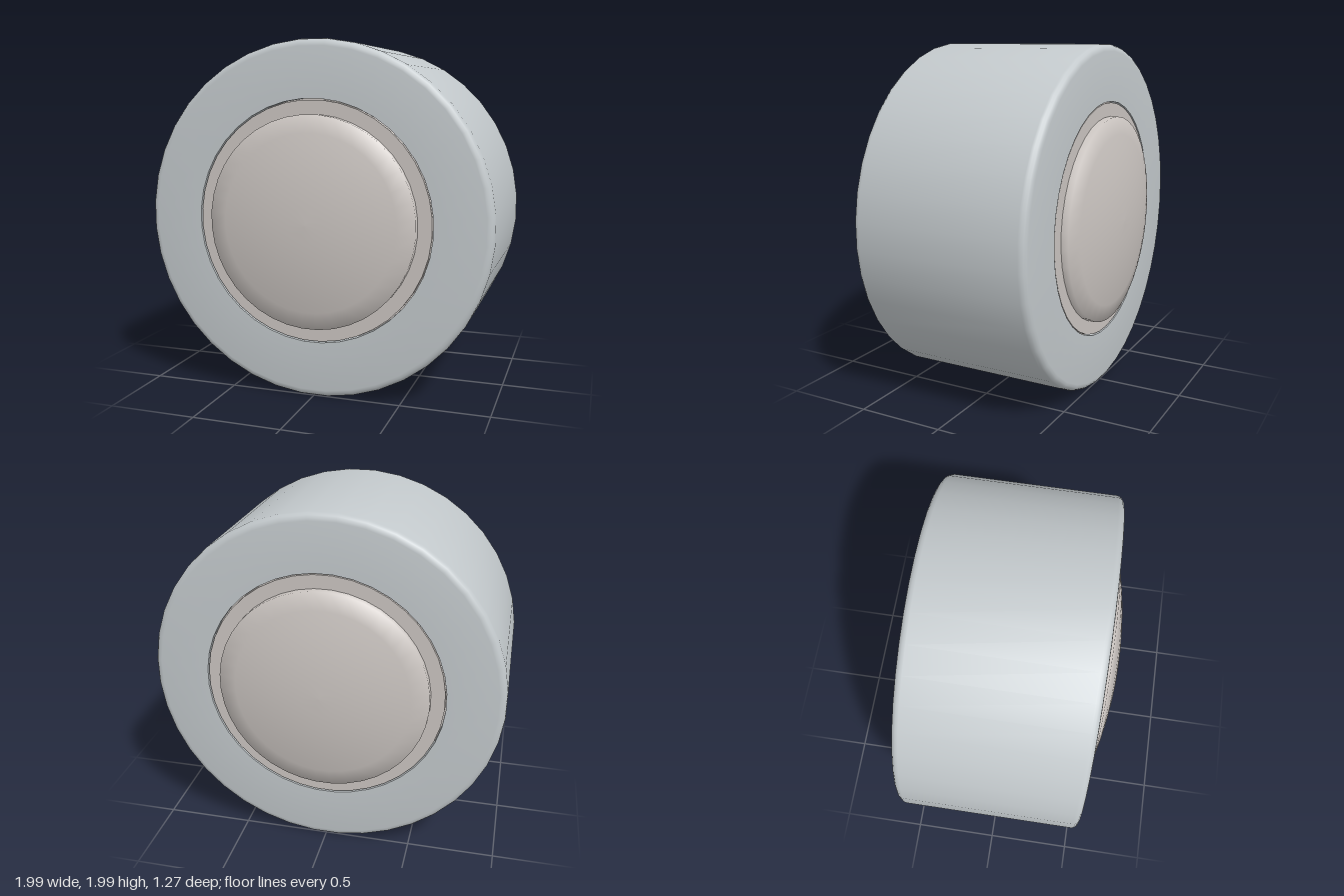
import * as THREE from 'three';
import { toCreasedNormals } from 'three/addons/utils/BufferGeometryUtils.js';

const SIDES = 40;

// Revolve [radius, z] points around the wheel's z axis
function revolve(points, creased) {
  const profile = points.map(([r, z]) => new THREE.Vector2(r, z));
  let geometry = new THREE.LatheGeometry(profile, SIDES, Math.PI / SIDES);
  geometry.rotateX(Math.PI / 2);
  if (creased) geometry = toCreasedNormals(geometry, Math.PI / 5);
  return geometry;
}

export function createModel() {
  const model = new THREE.Group();
  model.name = 'wheel';
  const tyreMaterial = new THREE.MeshStandardMaterial({ color: 0xc3c9cc });
  const hubMaterial = new THREE.MeshStandardMaterial({ color: 0xcbc5c1 });

  const add = (name, geometry, material, parent) => {
    const mesh = new THREE.Mesh(geometry, material);
    mesh.name = name;
    parent.add(mesh);
  };

  const wheel = new THREE.Group();
  wheel.name = 'wheelParts';
  wheel.position.y = 1;
  model.add(wheel);

  // Tyre: wide ring with rounded outer edges
  const halfWidth = 0.52, bevel = 0.04, steps = 4;
  const edge = [];
  for (let i = 0; i <= steps; i++) {
    const a = (i / steps) * Math.PI / 2;
    edge.push([1 - bevel + bevel * Math.cos(a), halfWidth - bevel + bevel * Math.sin(a)]);
  }
  const backEdge = edge.map(([r, z]) => [r, -z]).reverse();
  const bore = 0.68;
  add('tyre', revolve([[bore, -halfWidth], ...backEdge, ...edge, [bore, halfWidth], [bore, -halfWidth]], true),
    tyreMaterial, wheel);

  // Rim: core that fills the bore, leaving a fine seam around it
  const rimR = 0.673, rimZ = 0.517;
  add('rim', revolve([[0.5, -rimZ], [rimR, -rimZ], [rimR, -0.48], [bore, -0.48],
    [bore, 0.48], [rimR, 0.48], [rimR, rimZ], [0.5, rimZ]], true), hubMaterial, wheel);

  // Domed hub caps on both faces
  const capR = 0.595, rise = 0.078;
  const cap = [[capR, 0.5], [capR, 0.558]];
  for (let i = 5; i >= 0; i--) {
    const t = i / 6;
    cap.push([capR * t, 0.558 + rise * (1 - t * t)]);
  }
  const capGeometry = revolve(cap, false);
  for (const [name, turn] of [['frontHubCap', 0], ['backHubCap', Math.PI]]) {
    const side = new THREE.Group();
    side.name = name;
    side.rotation.y = turn;
    add(name + 'Dome', capGeometry, hubMaterial, side);
    wheel.add(side);
  }
  return model;
}
